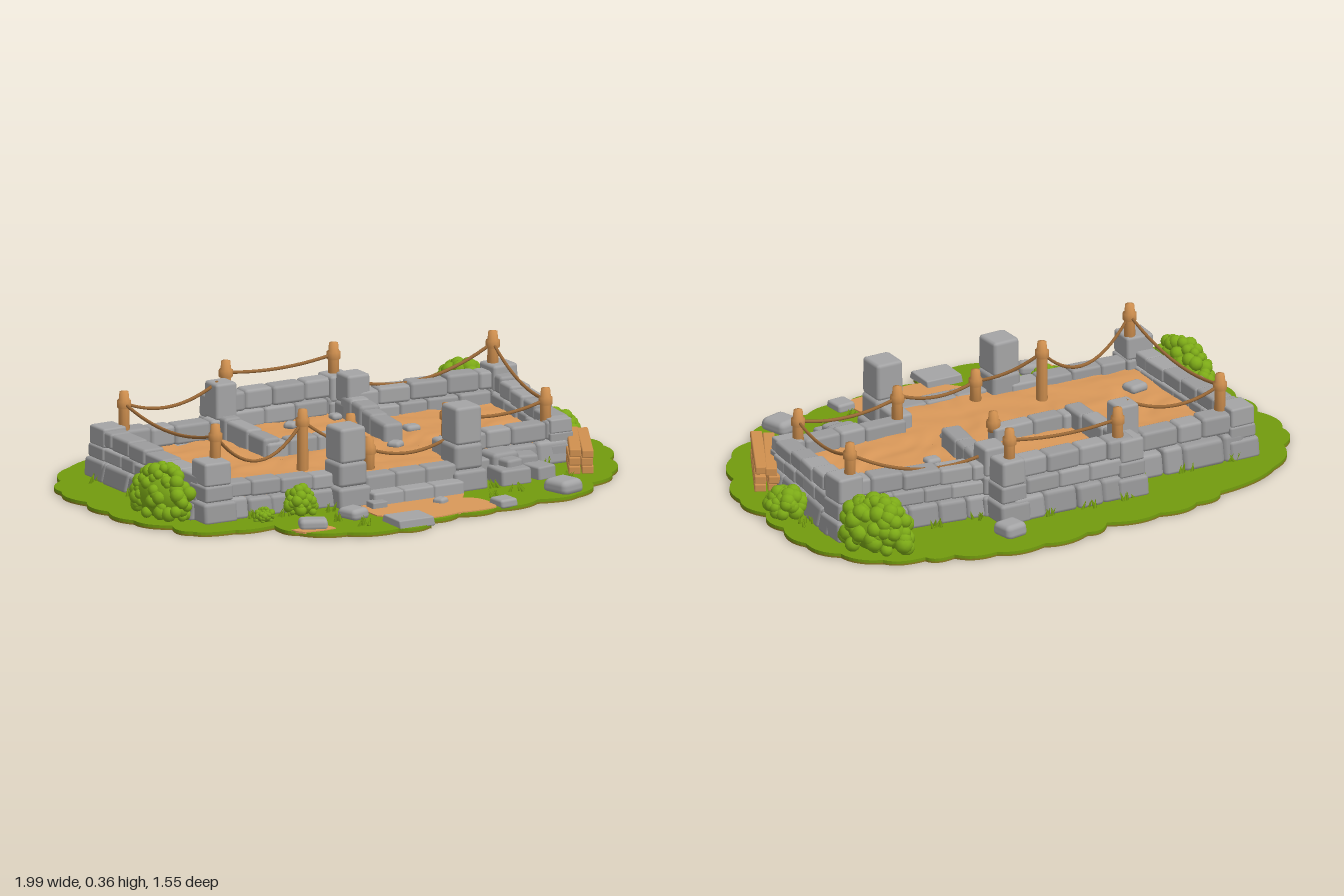
import * as THREE from 'three';
import { RoundedBoxGeometry } from 'three/addons/geometries/RoundedBoxGeometry.js';

export function createModel() {
  const model = new THREE.Group();
  model.name = 'ruinedFoundation';
  const mat = (name, color) => Object.assign(new THREE.MeshStandardMaterial({ color }), { name });
  const stone = mat('stone', 0x9c9c9d), paleStone = mat('paleStone', 0xa4a4a5);
  const dirt = mat('dirt', 0xd99859), wood = mat('wood', 0xd0904f), rope = mat('rope', 0x9c6a38);
  const grass = mat('grass', 0x729b0e), leaf = mat('leaf', 0x7dab17), soil = mat('soil', 0x857a1e);

  let seed = 7;
  const rnd = () => (seed = (seed * 16807) % 2147483647) / 2147483647;
  const jit = (a) => (rnd() - 0.5) * 2 * a;
  const lerp = THREE.MathUtils.lerp;

  const group = (name) => {
    const g = new THREE.Group();
    g.name = name;
    model.add(g);
    return g;
  };
  const add = (parent, name, geo, material, x = 0, y = 0, z = 0, ry = 0) => {
    const m = new THREE.Mesh(geo, material);
    m.name = name;
    m.position.set(x, y, z);
    m.rotation.y = ry;
    parent.add(m);
    return m;
  };

  // Rounded block from y to y + h, its foot widened by the flare
  const block = (parent, x, y, z, w, h, d, ry = 0, flare = 0, material = stone, round = 0.16) => {
    const geo = new RoundedBoxGeometry(w, h, d, round > 0.2 ? 2 : 1, Math.min(w, h, d) * round);
    const p = geo.attributes.position;
    for (let i = 0; i < p.count; i++) p.setZ(i, p.getZ(i) * (1 + flare * (0.5 - p.getY(i) / h)));
    return add(parent, 'block', geo, material, x, y + h / 2, z, ry);
  };
  const GROUND = 0.011;

  // Flat slab with a scalloped outline
  const slab = (name, pts, y, h, bulge, material) => {
    const s = new THREE.Shape();
    const cx = pts.reduce((a, p) => a + p[0], 0) / pts.length;
    const cz = pts.reduce((a, p) => a + p[1], 0) / pts.length;
    s.moveTo(pts[0][0], -pts[0][1]);
    pts.forEach((a, i) => {
      const b = pts[(i + 1) % pts.length];
      const mx = (a[0] + b[0]) / 2, mz = (a[1] + b[1]) / 2, l = Math.hypot(mx - cx, mz - cz);
      s.quadraticCurveTo(mx + (mx - cx) / l * bulge, -(mz + (mz - cz) / l * bulge), b[0], -b[1]);
    });
    const geo = new THREE.ExtrudeGeometry(s, { depth: h, bevelEnabled: false, curveSegments: 8 });
    add(model, name, geo.rotateX(-Math.PI / 2), material, 0, y, 0);
  };

  // Ground
  const outline = [[-0.98, -0.27], [-0.91, -0.4], [-0.79, -0.55], [-0.52, -0.65], [-0.4, -0.695], [-0.24, -0.715], [-0.04, -0.7],
    [0.06, -0.74], [0.24, -0.755], [0.42, -0.74], [0.56, -0.69], [0.66, -0.66], [0.8, -0.61], [0.9, -0.49], [0.96, -0.35],
    [0.96, -0.19], [0.95, -0.05], [0.97, 0.1], [0.9, 0.27], [0.81, 0.44], [0.68, 0.53], [0.56, 0.64], [0.4, 0.64], [0.22, 0.67],
    [0.07, 0.67], [-0.07, 0.69], [-0.09, 0.75], [-0.22, 0.755], [-0.4, 0.71], [-0.54, 0.62], [-0.57, 0.5], [-0.72, 0.49],
    [-0.86, 0.44], [-0.88, 0.33], [-0.96, 0.2], [-0.975, 0.05], [-0.975, -0.1]];
  slab('soilBase', outline, 0, 0.006, 0.05, soil);
  slab('grassGround', outline, 0.006, 0.01, 0.05, grass);
  slab('dirtPath', [[-0.18, 0.42], [0.23, 0.42], [0.18, 0.5], [0.23, 0.56], [0.22, 0.67], [0.07, 0.672], [-0.07, 0.685], [-0.2, 0.57]],
    0.012, 0.008, 0.02, dirt);
  slab('dirtPatch', [[-0.555, 0.595], [-0.42, 0.6], [-0.41, 0.65], [-0.53, 0.645]], 0.012, 0.007, 0.01, dirt);

  // Raised uneven dirt floor of the three rooms
  const bump = (x, z) => 0.004 * Math.sin(17 * x + 2 * Math.sin(13 * z)) * Math.sin(19 * z + 2 * Math.sin(11 * x))
    + 0.0025 * Math.sin(37 * x + 3 * Math.sin(15 * z)) * Math.cos(41 * z + 2 * Math.sin(23 * x));
  const floor = group('floor');
  [[-0.74, -0.26, -0.37, 0.31], [-0.27, 0.25, -0.48, 0.35], [0.24, 0.77, -0.36, 0.19]].forEach(([x0, x1, z0, z1]) => {
    const geo = new THREE.BoxGeometry(x1 - x0, 0.095, z1 - z0, 26, 1, 32);
    geo.translate((x0 + x1) / 2, GROUND + 0.0475, (z0 + z1) / 2);
    const p = geo.attributes.position;
    for (let i = 0; i < p.count; i++) if (p.getY(i) > 0.05) p.setY(i, 0.106 + bump(p.getX(i), p.getZ(i)));
    geo.computeVertexNormals();
    add(floor, 'dirtFloor', geo, dirt);
  });

  // Walls of staggered courses: ends, top at each end, thickness, foot height
  const wall = (name, x0, z0, x1, z1, t0, t1, thick = 0.08, foot = GROUND) => {
    const g = group(name), len = Math.hypot(x1 - x0, z1 - z0), ry = -Math.atan2(z1 - z0, x1 - x0);
    const inner = foot > GROUND;
    const levels = inner ? [0, 1] : Math.max(t0, t1) > 0.185 ? [0, 0.4, 0.68, 1] : [0, 0.56, 1];
    for (let c = 0; c < levels.length - 1; c++) {
      const n = Math.max(1, Math.round(len / 0.11));
      const cuts = Array.from({ length: n + 1 }, (_, i) => (i === 0 ? 0 : i === n ? 1 : (i + (c % 2 ? 0.3 : -0.1) + jit(0.22)) / n));
      for (let i = 0; i < n; i++) {
        const u = (cuts[i] + cuts[i + 1]) / 2, rise = lerp(t0, t1, u) - foot;
        const y = foot + levels[c] * rise, h = (levels[c + 1] - levels[c]) * rise + jit(0.004);
        const flared = c === 0 && !inner;
        block(g, lerp(x0, x1, u), y, lerp(z0, z1, u), (cuts[i + 1] - cuts[i]) * len + 0.001, h,
          thick + (flared ? 0.028 : c === 1 && levels.length > 3 ? 0.012 : 0) + jit(0.006), ry + jit(0.03), flared ? 0.32 : 0,
          rnd() < 0.3 ? paleStone : stone, 0.18);
      }
    }
  };
  wall('leftWall', -0.735, -0.38, -0.725, 0.3, 0.195, 0.165);
  wall('backLeftWall', -0.74, -0.375, -0.28, -0.365, 0.185, 0.17);
  wall('backBayWall', -0.25, -0.485, 0.24, -0.485, 0.225, 0.235, 0.075);
  wall('backRightWall', 0.25, -0.385, 0.81, -0.33, 0.2, 0.225);
  wall('rightWall', 0.8, -0.34, 0.745, 0.18, 0.215, 0.165);
  wall('frontRightWall', 0.28, 0.18, 0.76, 0.18, 0.155, 0.16, 0.07);
  wall('gateReturnWall', 0.275, 0.18, 0.27, 0.33, 0.155, 0.16, 0.07);
  wall('frontLeftWall', -0.71, 0.295, -0.22, 0.325, 0.145, 0.125, 0.07);
  wall('innerLeftWall', -0.28, -0.38, -0.275, -0.03, 0.185, 0.17, 0.07, 0.09);
  wall('innerFrontWall', -0.3, -0.055, 0.06, -0.055, 0.16, 0.155, 0.065, 0.09);
  wall('innerRightWall', 0.245, -0.4, 0.19, 0.0, 0.19, 0.165, 0.075, 0.09);

  // Piers: a flared foot, a middle block and one large top block
  const pier = (name, x, z, w, top) => {
    const g = group(name), a = 0.085, b = lerp(a, top, 0.4);
    block(g, x, GROUND, z, w * 1.25, a - GROUND, w * 1.3, jit(0.03), 0.15);
    block(g, x, a, z, w * 1.08, b - a + 0.002, w * 1.08, jit(0.04));
    block(g, x, b, z, w, top - b, w, jit(0.06), 0.06, paleStone, 0.12);
  };
  pier('leftGatePier', -0.2, 0.35, 0.105, 0.295);
  pier('rightGatePier', 0.265, 0.345, 0.105, 0.31);
  pier('frontLeftPier', -0.71, 0.305, 0.105, 0.225);
  pier('backLeftPier', -0.735, -0.375, 0.095, 0.2);
  pier('backRightPier', 0.8, -0.335, 0.1, 0.24);
  pier('frontRightPier', 0.735, 0.18, 0.085, 0.168);
  pier('bayLeftPier', -0.235, -0.485, 0.095, 0.225);
  pier('bayRightPier', 0.235, -0.485, 0.095, 0.24);
  pier('innerLeftPier', -0.285, -0.375, 0.085, 0.3);
  pier('innerRightPier', 0.25, -0.39, 0.09, 0.26);

  // Entrance steps
  const steps = group('entranceSteps');
  for (let i = 0; i < 3; i++) {
    block(steps, -0.085 + i * 0.12, GROUND, 0.365, 0.122, 0.103, 0.07, jit(0.02));
    block(steps, -0.085 + i * 0.12, GROUND, 0.42, 0.122, 0.052, 0.07, jit(0.02), 0, paleStone);
  }
  block(steps, -0.14, GROUND, 0.465, 0.06, 0.03, 0.05);

  // Posts with collars: x, z, foot, top
  const posts = group('ropePosts');
  const P = [[-0.68, 0.28, 0.2, 0.345], [-0.68, -0.36, 0.17, 0.32], [-0.2, -0.49, 0.2, 0.34], [0.23, -0.49, 0.22, 0.35],
    [0.78, -0.34, 0.22, 0.355], [0.7, 0.17, 0.14, 0.275], [0.3, 0.18, 0.14, 0.275], [-0.275, 0.18, 0.1, 0.325],
    [-0.07, 0.285, 0.1, 0.222], [0.05, -0.055, 0.14, 0.215]];
  P.forEach(([x, z, y0, y1]) => {
    const h = y1 - y0;
    const profile = [[0.0, 0], [0.021, 0], [0.019, h - 0.064], [0.025, h - 0.06], [0.025, h - 0.036], [0.019, h - 0.032], [0.016, h - 0.004], [0, h]];
    const geo = new THREE.LatheGeometry(profile.map(([r, y]) => new THREE.Vector2(r, y)), 10);
    add(posts, 'post', geo, wood, x, y0, z);
  });

  // Sagging ropes between posts and piers
  const ropes = group('ropes');
  const strand = (a, b, sag) => {
    const A = new THREE.Vector3(a[0], a[3] - 0.045, a[1]), B = new THREE.Vector3(b[0], b[3] - 0.045, b[1]);
    const mid = A.clone().lerp(B, 0.5);
    mid.y -= sag * 2;
    add(ropes, 'rope', new THREE.TubeGeometry(new THREE.QuadraticBezierCurve3(A, mid, B), 16, 0.006, 6), rope);
  };
  [[0, 1, 0.045], [2, 3, 0.018], [4, 5, 0.035], [5, 6, 0.03], [7, 0, 0.115], [7, 8, 0.02]]
    .forEach(([a, b, sag]) => strand(P[a], P[b], sag));
  strand(P[1], [-0.3, -0.37, 0, 0.345], 0.05);
  strand([0.28, -0.385, 0, 0.265], P[4], 0.055);
  strand(P[8], [0.22, 0.3, 0, 0.22], 0.03);

  // Bushes: leafy clumps over a tapering dome: x, z, rx, height, rz, turn
  [[0.77, -0.51, 0.095, 0.215, 0.145, 0.6], [-0.85, 0.2, 0.08, 0.21, 0.15, 0.2], [0.89, -0.08, 0.085, 0.105, 0.085, 0],
    [-0.41, 0.405, 0.065, 0.11, 0.06, 0], [-0.57, 0.43, 0.04, 0.055, 0.035, 0]].forEach(([x, z, rx, h, rz, ry]) => {
    const g = group('bush');
    g.position.set(x, GROUND, z);
    g.rotation.y = ry;
    const r = Math.min(rx, rz) * 0.28;
    add(g, 'core', new THREE.SphereGeometry(1, 14, 10), leaf, 0, h * 0.4, 0).scale.set(rx * 0.78, h * 0.4, rz * 0.78);
    const n = h > 0.15 ? 75 : 40;
    for (let i = 0; i < n; i++) {
      const v = 1 - 1.8 * (i + 0.5) / n, a = i * 2.4 + jit(0.35), q = v > 0 ? Math.sqrt(1 - v * v) * (1 - 0.15 * v) : 1 - 0.15 * v * v;
      const s = r * (0.75 + rnd() * 0.5), k = q * (0.95 + jit(0.1));
      const y = Math.max(h * 0.44 + v * (h * 0.54 - r) + jit(0.006), s * 0.8);
      add(g, 'clump', new THREE.IcosahedronGeometry(s, 1), leaf, Math.cos(a) * k * (rx - r), y, Math.sin(a) * k * (rz - r));
    }
  });

  // Loose stones: x, z, width, height, depth, turn, base, roundness
  const stones = group('looseStones');
  const F = 0.1;
  [[0.3, -0.62, 0.09, 0.05, 0.08, 0.2, GROUND, 0.35], [-0.145, 0.695, 0.14, 0.03, 0.11, 0, GROUND, 0.15],
    [-0.47, 0.595, 0.1, 0.04, 0.065, -0.4, GROUND, 0.4], [-0.275, 0.535, 0.08, 0.04, 0.08, 0.3, GROUND, 0.4],
    [0.265, 0.64, 0.07, 0.03, 0.07, 0.1, GROUND, 0.3], [0.54, 0.575, 0.1, 0.05, 0.1, 0.3, GROUND, 0.4],
    [0.085, 0.515, 0.045, 0.025, 0.04, 0.5, GROUND, 0.4], [-0.6, 0.1, 0.075, 0.03, 0.06, 0.2, F, 0.48],
    [0.17, 0.05, 0.05, 0.024, 0.045, 0.6, F, 0.48], [0.33, -0.12, 0.055, 0.024, 0.045, 0, F, 0.48],
    [-0.015, -0.36, 0.045, 0.024, 0.04, 0.7, F, 0.48], [0.18, -0.39, 0.04, 0.022, 0.04, 0, F, 0.48],
    [0.58, -0.28, 0.04, 0.022, 0.035, 0.3, F, 0.48], [-0.6, -0.27, 0.045, 0.022, 0.035, 0.3, F, 0.48]]
    .forEach(([x, z, w, h, d, ry, y, round]) => block(stones, x, y, z, w, h, d, ry, 0.25, paleStone, round));

  // Rubble beside the right wall
  const rubble = group('rubblePile');
  [[0.44, 0.37, 0.12, 0.06, 0.11, 0], [0.445, 0.29, 0.11, 0.1, 0.1, 0.1], [0.45, 0.355, 0.07, 0.085, 0.07, 0.2],
    [0.565, 0.36, 0.08, 0.05, 0.09, 0.2], [0.55, 0.285, 0.08, 0.075, 0.08, -0.2], [0.37, 0.28, 0.05, 0.08, 0.08, 0]]
    .forEach(([x, z, w, h, d, ry]) => block(rubble, x, GROUND, z, w, h, d, ry, 0.1));

  // Stacked planks
  const planks = group('plankStack');
  planks.position.set(0.78, 0.014, 0.262);
  planks.rotation.y = -0.47;
  for (let i = 0; i < 3; i++) for (const s of [-1, 1])
    block(planks, s * 0.021 + jit(0.004), i * 0.03, jit(0.012), 0.041, 0.029, 0.325, jit(0.02), 0, wood);

  // Grass tufts round the walls
  const tufts = group('grassTufts');
  [[-0.6, 0.37], [-0.47, 0.41], [-0.3, 0.43], [-0.36, 0.55], [0.35, 0.42], [0.4, 0.5], [0.62, 0.44], [0.66, 0.25], [0.86, 0.05],
    [0.88, -0.2], [-0.81, -0.1], [-0.81, -0.33], [-0.7, -0.44], [-0.5, -0.44], [-0.34, -0.44], [-0.2, -0.55], [-0.05, -0.55],
    [0.1, -0.55], [0.25, -0.55], [0.34, -0.46], [0.5, -0.44], [0.65, -0.42], [0.29, 0.55], [-0.3, 0.65]].forEach(([x, z]) => {
    for (let i = 0; i < 5; i++)
      add(tufts, 'blade', new THREE.ConeGeometry(0.008, 0.036, 4), grass, x + jit(0.025), 0.03, z + jit(0.015)).rotation.set(jit(0.5), 0, jit(0.5));
  });
  return model;
}
